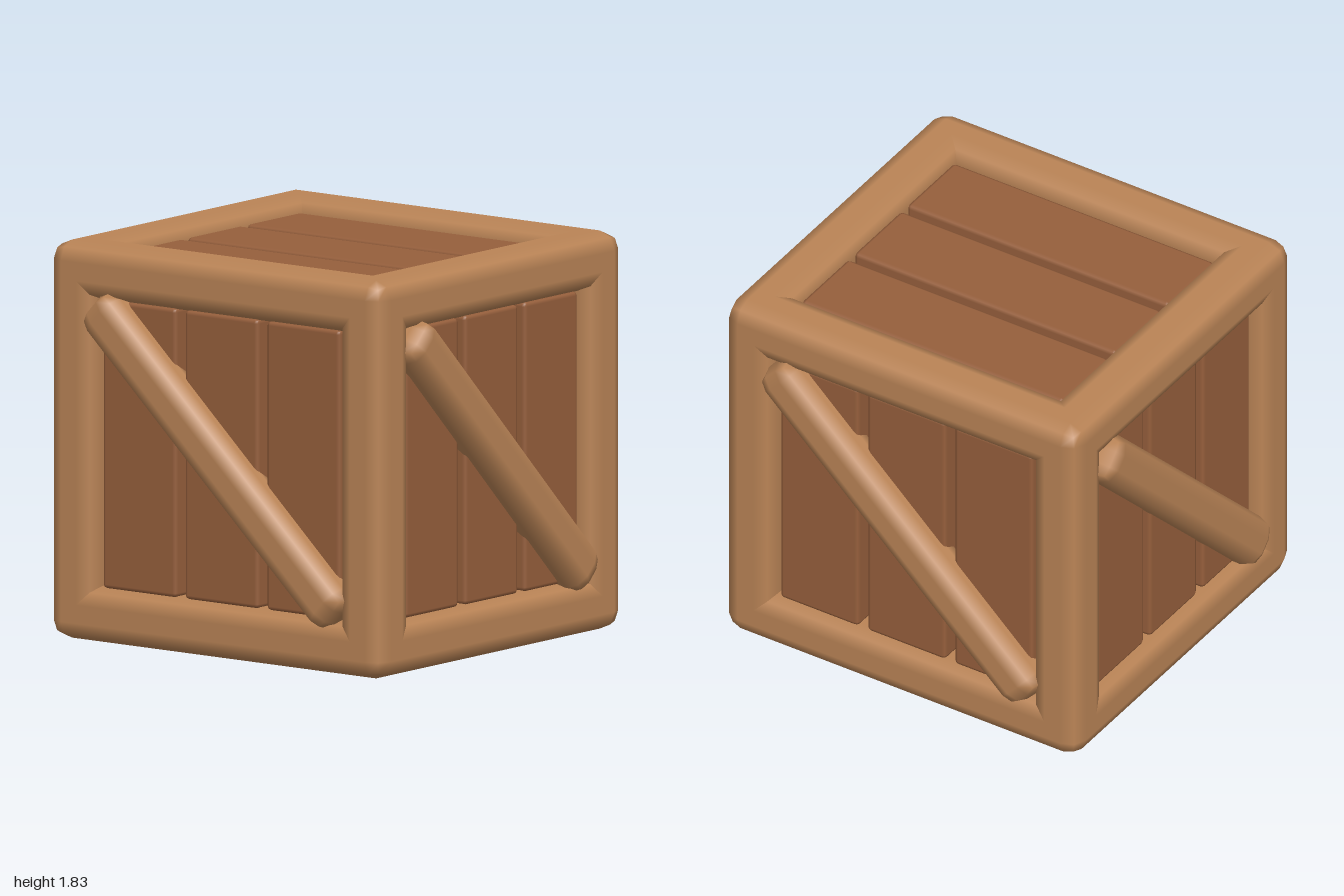
import * as THREE from 'three';
import { RoundedBoxGeometry } from 'three/addons/geometries/RoundedBoxGeometry.js';

const frameMat = new THREE.MeshStandardMaterial({ color: 0xba8456 });
const plankMat = new THREE.MeshStandardMaterial({ color: 0x965f3c });

// Half sizes of the crate and the thickness of its frame
const HX = 0.91, HY = 0.915, HZ = 0.955, BAR = 0.255;
const BEVEL = 0.085, RECESS = 0.06, PLANK_DEPTH = 0.14;

function beam(name, w, h, d, bevel, material) {
  const mesh = new THREE.Mesh(new RoundedBoxGeometry(w, h, d, 1, bevel), material);
  mesh.name = name;
  return mesh;
}

// Three upright planks and an optional diagonal brace, facing +z at distance `out`
function panel(name, halfW, halfH, out, brace) {
  const group = new THREE.Group();
  group.name = name;
  const opening = 2 * (halfW - BAR);
  const pitch = opening / 3 + 0.003;
  for (let i = -1; i <= 1; i++) {
    const plank = beam('plank', pitch - 0.047, 2 * (halfH - BAR) + 0.01, PLANK_DEPTH, 0.02, plankMat);
    plank.position.set(i * pitch, 0, out - RECESS - PLANK_DEPTH / 2);
    group.add(plank);
  }
  if (brace) {
    const diagonal = beam('diagonalBrace', brace.length, 0.235, 0.2, 0.08, frameMat);
    diagonal.position.z = out + 0.045 - 0.1;
    diagonal.rotation.z = -brace.angle;
    group.add(diagonal);
  }
  return group;
}

export function createModel() {
  const crate = new THREE.Group();
  crate.name = 'crate';
  const body = new THREE.Group();
  body.name = 'crateBody';
  body.position.y = HY;
  crate.add(body);

  // Twelve frame bars, four along each axis
  for (const a of [-1, 1]) {
    for (const b of [-1, 1]) {
      const px = HX - BAR / 2, py = HY - BAR / 2, pz = HZ - BAR / 2;
      const barX = beam('frameCrossBar', 2 * HX, BAR, BAR, BEVEL, frameMat);
      barX.position.set(0, a * py, b * pz);
      const barY = beam('framePost', BAR, 2 * HY, BAR, BEVEL, frameMat);
      barY.position.set(a * px, 0, b * pz);
      const barZ = beam('frameSideBar', BAR, BAR, 2 * HZ, BEVEL, frameMat);
      barZ.position.set(a * px, b * py, 0);
      body.add(barX, barY, barZ);
    }
  }

  // Braced walls
  const frontBrace = { length: 1.845, angle: Math.PI / 4 };
  const sideBrace = { length: 1.91, angle: 0.752 };
  const front = panel('frontPanel', HX, HY, HZ, frontBrace);
  const back = panel('backPanel', HX, HY, HZ, frontBrace);
  back.rotation.y = Math.PI;
  const left = panel('leftPanel', HZ, HY, HX, sideBrace);
  left.rotation.y = Math.PI / 2;
  const right = panel('rightPanel', HZ, HY, HX, sideBrace);
  right.rotation.y = -Math.PI / 2;

  // Plain lid and base
  const top = panel('topPanel', HX, HZ, HY, null);
  top.rotation.x = -Math.PI / 2;
  const bottom = panel('bottomPanel', HX, HZ, HY, null);
  bottom.rotation.x = Math.PI / 2;

  body.add(front, back, left, right, top, bottom);
  return crate;
}
